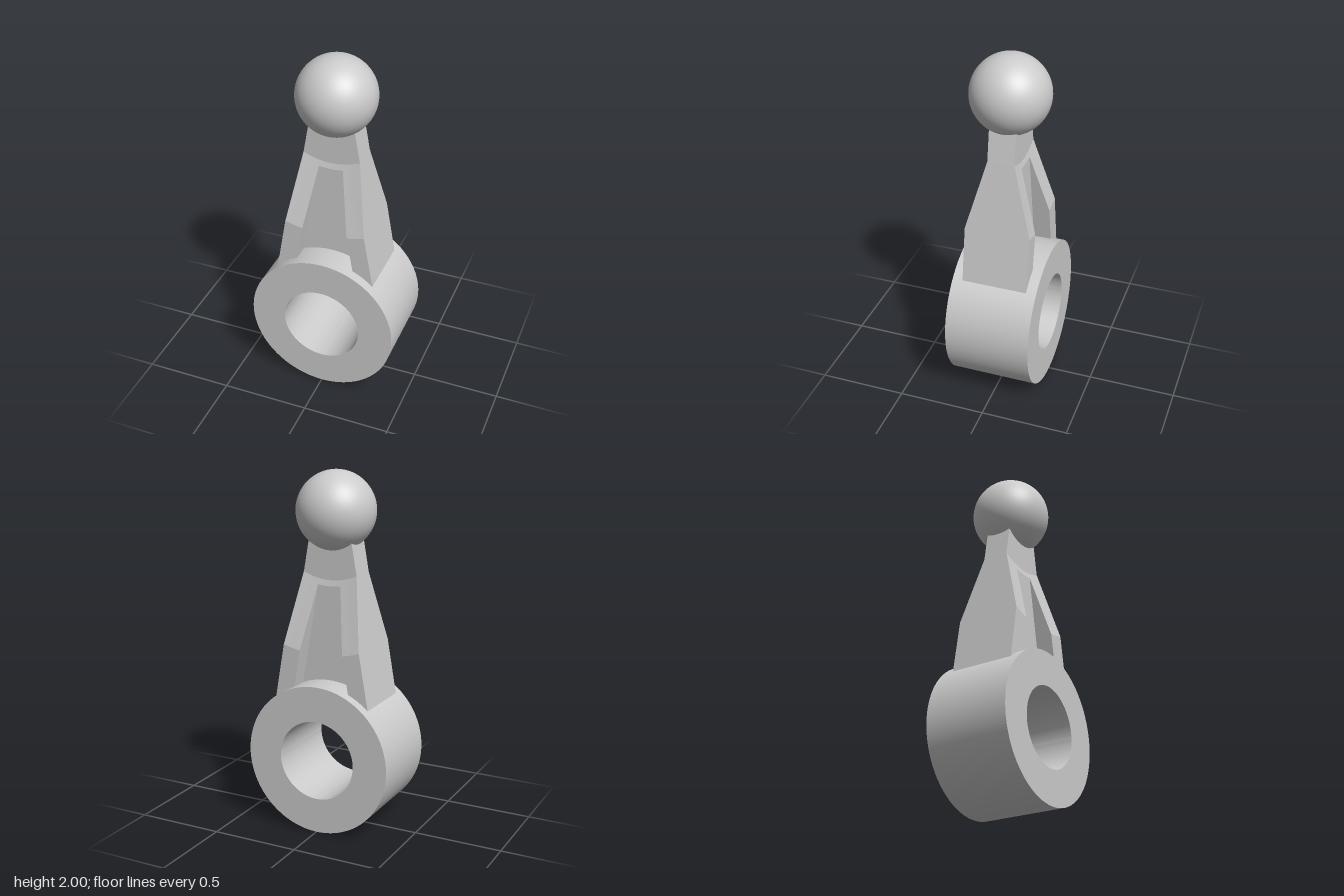
import * as THREE from 'three';
import { toCreasedNormals } from 'three/addons/utils/BufferGeometryUtils.js';

const BALL_Y = 1.78;
const OUTER = [0.102, 0.175]; // flange outer edge: x = c + k * depth below the ball centre
const INNER = [0, 0.172];     // flange inner edge
const WEB = 0.084;            // half thickness of the recessed web

// Half thickness of the arm, growing with distance r from the ball centre
const thickness = (r) => 0.075 + 0.11 * THREE.MathUtils.clamp((r - 0.37) / 0.395, 0, 1);

// Rows from neck to foot: level ends buried in ball and ring, arcs about the ball between
const ROWS = [{ d: 0.1, r: 0.15 }, { r: 0.37 }, { r: 0.402 }, { r: 0.765 }, { d: 1.06, r: 1.06 }];

// Skin a bar lying between two slanted edge lines
function bar(from, to, columns, maxZ) {
  const rings = ROWS.map(({ d, r }) => {
    const front = [];
    const z = Math.min(thickness(r), maxZ);
    for (let i = 0; i <= columns; i++) {
      const c = THREE.MathUtils.lerp(from[0], to[0], i / columns);
      const k = THREE.MathUtils.lerp(from[1], to[1], i / columns);
      // depth at which the line crosses the circle of radius r
      const depth = d ?? (-c * k + Math.sqrt(r * r * (1 + k * k) - c * c)) / (1 + k * k);
      front.push([c + k * depth, BALL_Y - depth, z]);
    }
    const back = front.map(([x, y, w]) => [x, y, -w]).reverse();
    return [...front, ...back];
  });
  const pos = [];
  const n = rings[0].length;
  for (let i = 0; i < rings.length - 1; i++) {
    for (let j = 0; j < n; j++) {
      const a = rings[i][j], b = rings[i][(j + 1) % n];
      const e = rings[i + 1][j], f = rings[i + 1][(j + 1) % n];
      pos.push(...a, ...e, ...b, ...e, ...f, ...b);
    }
  }
  const geo = new THREE.BufferGeometry();
  geo.setAttribute('position', new THREE.Float32BufferAttribute(pos, 3));
  return toCreasedNormals(geo, 0.15);
}

export function createModel() {
  const group = new THREE.Group();
  const material = new THREE.MeshStandardMaterial({ color: 0xcccccc });
  const add = (name, geometry, y = 0) => {
    const mesh = new THREE.Mesh(geometry, material);
    mesh.name = name;
    mesh.position.y = y;
    group.add(mesh);
  };

  // Bored ring at the foot
  const shape = new THREE.Shape().absarc(0, 0, 0.424, 0, Math.PI * 2);
  shape.holes.push(new THREE.Path().absarc(0, 0, 0.225, 0, Math.PI * 2, true));
  const ring = new THREE.ExtrudeGeometry(shape, { depth: 0.486, bevelEnabled: false, curveSegments: 72 });
  ring.translate(0, 0, -0.243);
  add('ring', toCreasedNormals(ring, 0.5), 0.424);

  // Arm of I-section: two flanges and a thin web
  const mirror = (line) => line.map((v) => -v);
  add('leftFlange', bar(INNER, OUTER, 4, 1));
  add('rightFlange', bar(mirror(OUTER), mirror(INNER), 4, 1));
  add('web', bar(mirror(INNER), INNER, 8, WEB));

  // Ball at the top
  add('ball', new THREE.SphereGeometry(0.22, 64, 40), BALL_Y);

  return group;
}
